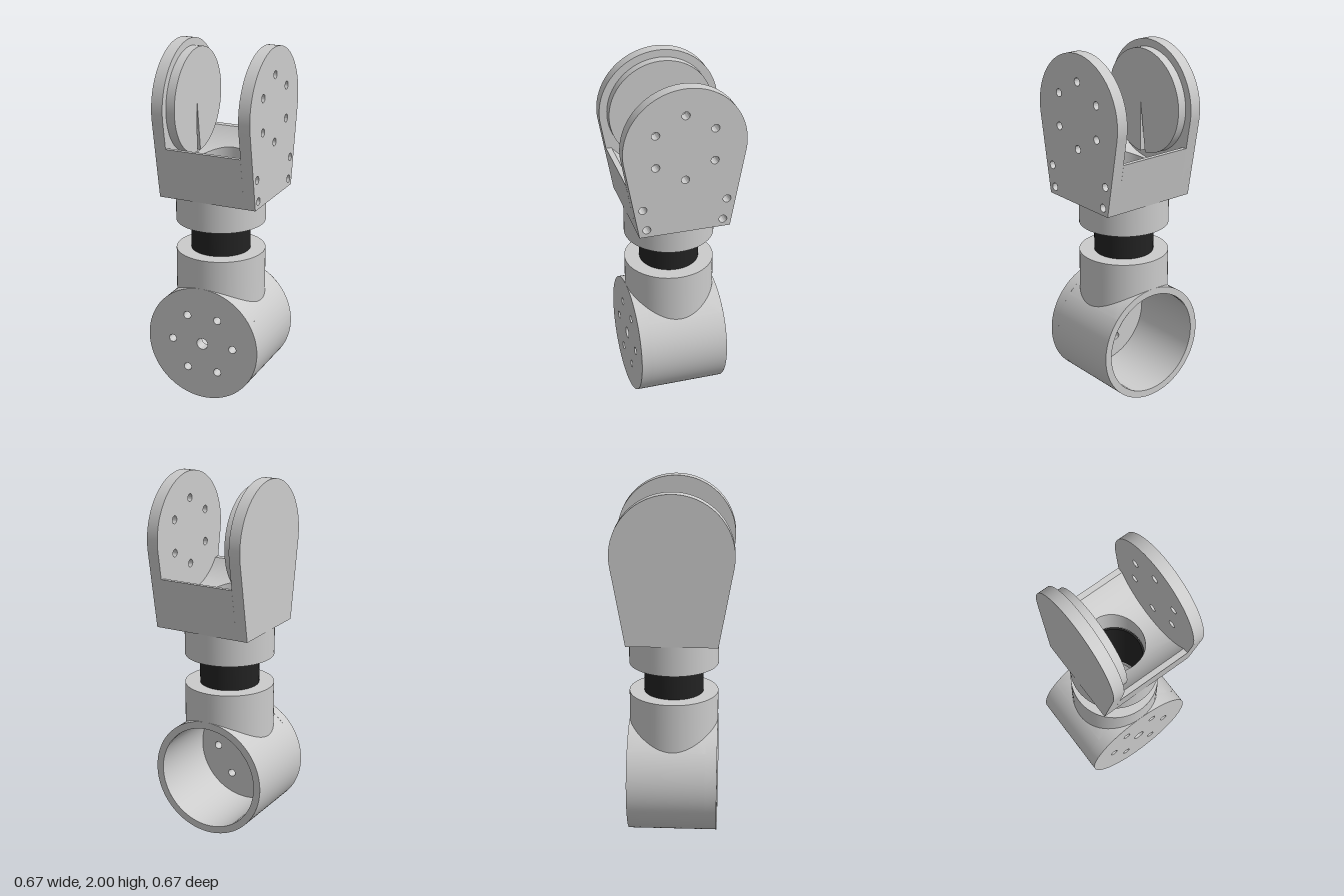
import * as THREE from 'three';
import { toCreasedNormals } from 'three/addons/utils/BufferGeometryUtils.js';

const grey = new THREE.MeshStandardMaterial({ color: 0xcccccc, side: THREE.DoubleSide });
const black = new THREE.MeshStandardMaterial({ color: 0x222222, side: THREE.DoubleSide });

const R = 0.333, BORE = 0.293, NECK = 0.25, TUBE = 0.166;   // radii
const LOW = 0.333, HIGH = 1.667;                            // joint axis heights
const PLATE = 0.065, CRADLE = 0.342, FORK_BOTTOM = 1.17;
const XL = -0.185, XR = 0.25;                               // inner faces of the fork

const outerTop = (x) => LOW + Math.sqrt(R * R - x * x);
const boreTop = (x) => LOW + Math.sqrt(BORE * BORE - x * x);
const cradleY = (z) => HIGH - Math.sqrt(CRADLE * CRADLE - z * z);

function add(parent, name, geometry, material = grey) {
  const mesh = new THREE.Mesh(geometry, material);
  mesh.name = name;
  parent.add(mesh);
  return mesh;
}

function group(parent, name) {
  const g = new THREE.Group();
  g.name = name;
  parent.add(g);
  return g;
}

function extrude(shape, depth) {
  return toCreasedNormals(
    new THREE.ExtrudeGeometry(shape, { depth, bevelEnabled: false, curveSegments: 48 }), 0.5);
}

// Profile in (z, y) extruded along x from x0 to x1
function extrudeX(shape, x0, x1) {
  return extrude(shape, x1 - x0).rotateY(Math.PI / 2).translate(x0, 0, 0);
}

function punch(shape, x, y, r) {
  shape.holes.push(new THREE.Path().absarc(x, y, r, 0, Math.PI * 2, true));
}

// Six bolt holes on a circle
function boltHoles(shape, cy, start) {
  for (let i = 0; i < 6; i++) {
    const a = start + i * Math.PI / 3;
    punch(shape, 0.184 * Math.cos(a), cy + 0.184 * Math.sin(a), 0.022);
  }
}

// Rectangle in x/z with a round hole at the origin, lifted to y = height(x, z)
function holedPatch(x0, x1, z0, z1, r, height, faceUp) {
  const N = 64, M = 8, pos = [], idx = [];
  for (let j = 0; j <= M; j++) {
    for (let i = 0; i < N; i++) {
      const a = i / N * Math.PI * 2, c = Math.cos(a), s = Math.sin(a);
      const m = Math.max(Math.abs(c), Math.abs(s)), t = j / M;
      const ox = (x0 + x1) / 2 + c / m * (x1 - x0) / 2;
      const oz = (z0 + z1) / 2 + s / m * (z1 - z0) / 2;
      const x = r * c * (1 - t) + ox * t, z = r * s * (1 - t) + oz * t;
      pos.push(x, height(x, z), z);
      if (j === M) continue;
      const k = (i + 1) % N;
      const p = j * N + i, q = j * N + k, u = p + N, v = q + N;
      if (faceUp) idx.push(p, q, u, q, v, u);
      else idx.push(p, u, q, q, u, v);
    }
  }
  const g = new THREE.BufferGeometry();
  g.setAttribute('position', new THREE.Float32BufferAttribute(pos, 3));
  g.setIndex(idx);
  g.computeVertexNormals();
  return g;
}

// Open upright pipe whose ends follow height rules
function pipe(r, bottom, top) {
  const g = new THREE.CylinderGeometry(r, r, 1, 64, 1, true);
  const p = g.attributes.position;
  for (let i = 0; i < p.count; i++) {
    const rule = p.getY(i) > 0 ? top : bottom;
    p.setY(i, rule(p.getX(i), p.getZ(i)));
  }
  return g;
}

// Barrel wall along z, left open at the top between x = -w and x = w
function barrelWall(r, w, z0, z1) {
  const span = Math.PI - Math.asin(w / r);
  return new THREE.CylinderGeometry(r, r, z1 - z0, 72, 1, true, -span, 2 * span)
    .rotateX(Math.PI / 2).translate(0, LOW, (z0 + z1) / 2);
}

function buildBase(parent) {
  const base = group(parent, 'lowerJoint');
  const z0 = -0.25, z1 = 0.25 - PLATE, w = 0.25;
  add(base, 'barrelOuterWall', barrelWall(R, w, z0, z1));
  add(base, 'barrelOuterTop', holedPatch(-w, w, z0, z1, TUBE, outerTop, true));
  add(base, 'barrelBore', barrelWall(BORE, w, z0, z1));
  add(base, 'barrelBoreTop', holedPatch(-w, w, z0, z1, TUBE, boreTop, false));
  add(base, 'barrelRim', new THREE.RingGeometry(BORE, R, 96).rotateY(Math.PI).translate(0, LOW, z0));

  // Front plate with bolt holes and centre hole
  const face = new THREE.Shape().absarc(0, LOW, R, 0, Math.PI * 2);
  punch(face, 0, LOW, 0.033);
  boltHoles(face, LOW, 0);
  add(base, 'barrelFacePlate', extrude(face, PLATE).translate(0, 0, z1));

  // Neck saddled onto the barrel
  add(base, 'neck', pipe(NECK, outerTop, () => 0.835));
  add(base, 'neckBore', pipe(TUBE, boreTop, () => 0.835));
  add(base, 'neckTop', new THREE.RingGeometry(TUBE, NECK, 64).rotateX(-Math.PI / 2).translate(0, 0.835, 0));
}

// Teardrop outline of a fork plate in (z, y)
function plateShape() {
  const dy = FORK_BOTTOM - HIGH, d = Math.hypot(0.25, dy);
  const a = Math.atan2(dy, 0.25) + Math.acos(R / d);
  return new THREE.Shape().moveTo(-0.25, FORK_BOTTOM).lineTo(0.25, FORK_BOTTOM)
    .absarc(0, HIGH, R, a, Math.PI - a, false).closePath();
}

function buildFork(parent) {
  const fork = group(parent, 'upperFork');
  add(fork, 'plainPlate', extrudeX(plateShape(), XL - PLATE, XL));

  const drilled = plateShape();
  boltHoles(drilled, HIGH, Math.PI / 6);
  for (const s of [-1, 1]) {
    punch(drilled, s * 0.23, 1.335, 0.022);
    punch(drilled, s * 0.21, 1.213, 0.022);
  }
  add(fork, 'drilledPlate', extrudeX(drilled, XR, XR + PLATE));

  // Pivot disc with a slot from its centre to its lower edge
  const h = 0.02, a = Math.asin(h / 0.291);
  const disc = new THREE.Shape().moveTo(h, HIGH)
    .absarc(0, HIGH, 0.291, -Math.PI / 2 + a, Math.PI * 1.5 - a, false)
    .lineTo(-h, HIGH).closePath();
  add(fork, 'pivotDisc', extrudeX(disc, XL, -0.135));

  // Crossblock: two cheeks and a concave, pierced floor
  const zi = 0.17;
  for (const s of [-1, 1]) {
    const cheek = new THREE.Shape().moveTo(s * zi, FORK_BOTTOM)
      .lineTo(s * 0.25, FORK_BOTTOM).lineTo(s * 0.302, 1.46);
    for (let i = 0; i <= 10; i++) {
      const z = 0.27 + (zi - 0.27) * i / 10;
      cheek.lineTo(s * z, cradleY(z));
    }
    add(fork, s > 0 ? 'frontCheek' : 'backCheek', extrudeX(cheek, XL, XR));
  }
  add(fork, 'cradleFloor', holedPatch(XL, XR, -zi, zi, TUBE, (x, z) => cradleY(z), true));
  add(fork, 'blockUnderside', holedPatch(XL, XR, -zi, zi, TUBE, () => FORK_BOTTOM, false));
  add(fork, 'cradleBore', pipe(TUBE, () => FORK_BOTTOM, (x, z) => cradleY(z)));

  // Collar under the fork
  add(fork, 'collar', pipe(NECK, () => 1.003, () => FORK_BOTTOM));
  add(fork, 'collarUnderside', new THREE.RingGeometry(TUBE, NECK, 64).rotateX(Math.PI / 2).translate(0, 1.003, 0));
}

export function createModel() {
  const model = new THREE.Group();
  model.name = 'jointedArmSegment';
  buildBase(model);
  buildFork(model);

  // Hollow tube joining the two halves
  const points = [[0.155, 0.668], [TUBE, 0.668], [TUBE, 1.168], [0.155, 1.168], [0.155, 0.668]]
    .map(([x, y]) => new THREE.Vector2(x, y));
  add(model, 'connectingTube', toCreasedNormals(new THREE.LatheGeometry(points, 64), 0.5), black);
  return model;
}
